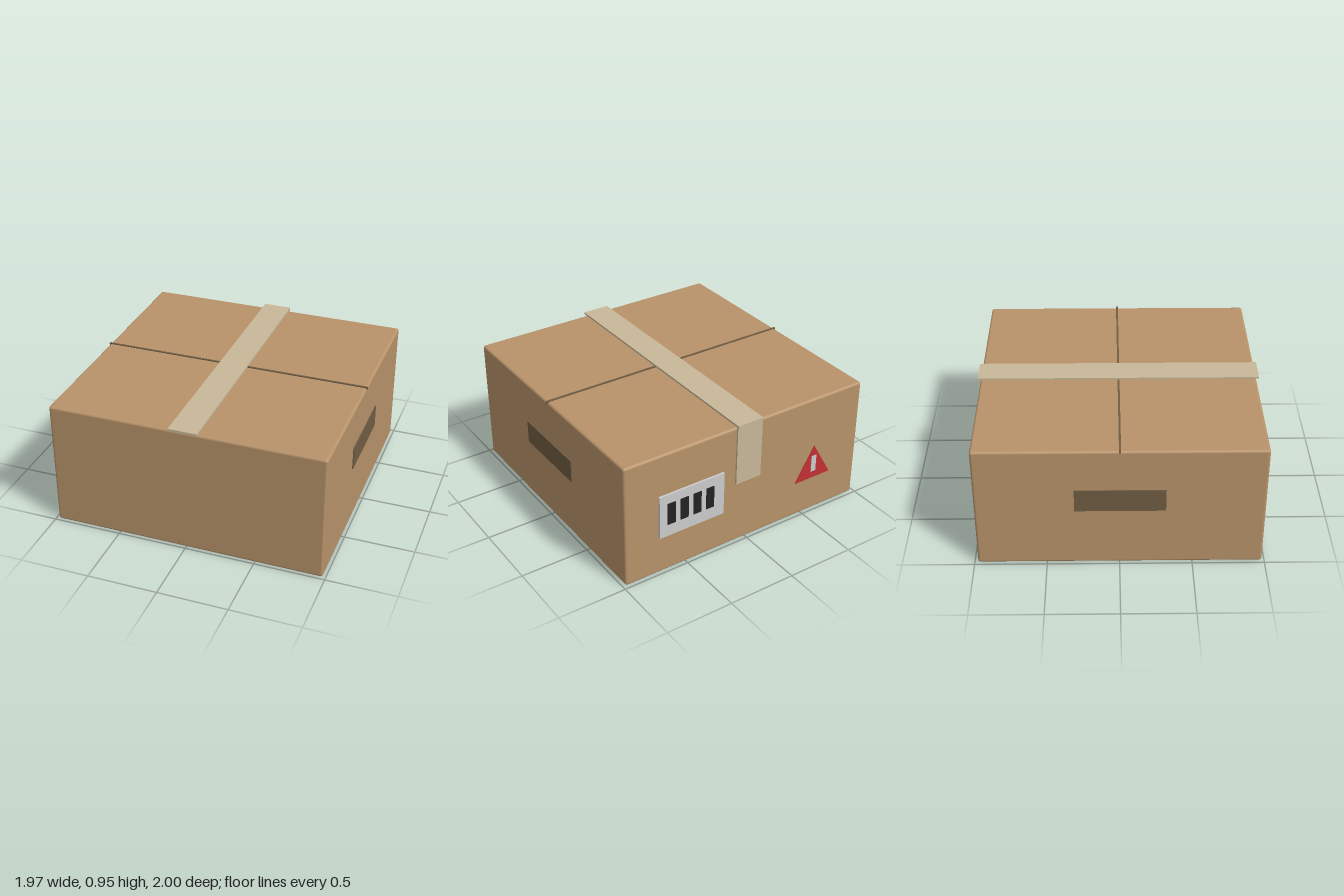
import * as THREE from 'three';
import { RoundedBoxGeometry } from 'three/addons/geometries/RoundedBoxGeometry.js';

const paint = (color) => new THREE.MeshStandardMaterial({ color });

export function createModel() {
  const model = new THREE.Group();
  const cardboard = paint(0xb8936a);
  const shade = paint(0x715d43);
  const tape = paint(0xc8b899);
  const paper = paint(0xe8e8e8);
  const ink = paint(0x222222);
  const red = paint(0xc43034);

  const add = (name, geometry, material) => {
    const mesh = new THREE.Mesh(geometry, material);
    mesh.name = name;
    model.add(mesh);
    return mesh;
  };
  // Box given by its extents along each axis
  const block = (name, material, [x0, x1], [y0, y1], [z0, z1]) =>
    add(name, new THREE.BoxGeometry(x1 - x0, y1 - y0, z1 - z0), material)
      .position.set((x0 + x1) / 2, (y0 + y1) / 2, (z0 + z1) / 2);

  // Carton with softly rounded edges
  add('carton', new RoundedBoxGeometry(1.96, 0.93, 1.96, 3, 0.018), cardboard)
    .position.set(0, 0.465, 0.003);

  // Seam between the two lid flaps
  block('flapSeam', shade, [-0.983, 0.983], [0.92, 0.937], [-0.005, 0.009]);

  // Packing tape over the lid and down the back
  block('topTape', tape, [-0.102, 0.102], [0.935, 0.949], [-0.995, 1]);
  block('backTape', tape, [-0.102, 0.102], [0.485, 0.949], [-0.99, -0.975]);

  // Hand holds on both sides
  for (const side of [-1, 1]) {
    const xs = [side * 0.97, side * 0.987].sort((a, b) => a - b);
    block(side > 0 ? 'leftHandHold' : 'rightHandHold', shade, xs, [0.45, 0.62], [-0.305, 0.311]);
  }

  // Shipping label with dark bars
  block('label', paper, [0.203, 0.72], [0.29, 0.62], [-0.992, -0.975]);
  for (let i = 0; i < 4; i++) {
    const x = 0.32 + i * 0.103;
    block('labelBar', ink, [x - 0.031, x + 0.031], [0.385, 0.55], [-0.998, -0.99]);
  }

  // Warning triangle and its upright stroke
  const triangle = new THREE.Shape([
    new THREE.Vector2(-0.153, 0),
    new THREE.Vector2(0.153, 0),
    new THREE.Vector2(0, 0.265),
  ]);
  add('warningTriangle', new THREE.ExtrudeGeometry(triangle, { depth: 0.006, bevelEnabled: false }), red)
    .position.set(-0.572, 0.29, -0.996);
  block('warningStroke', paper, [-0.593, -0.551], [0.345, 0.475], [-1, -0.993]);

  return model;
}
